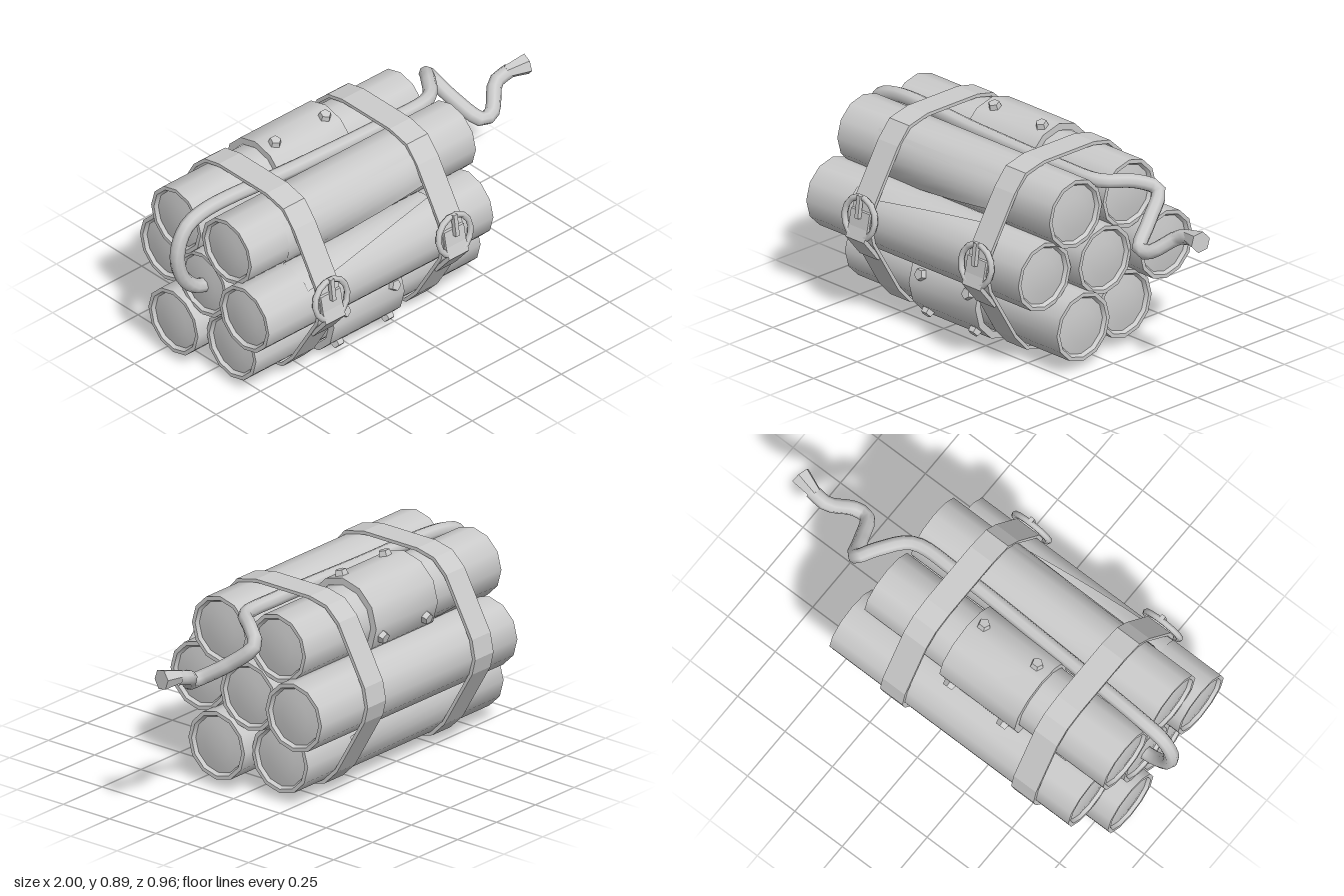
import * as THREE from 'three';
import { toCreasedNormals } from 'three/addons/utils/BufferGeometryUtils.js';

const material = new THREE.MeshStandardMaterial({ color: 0xcccccc });
const thinMaterial = new THREE.MeshStandardMaterial({ color: 0xcccccc, side: THREE.DoubleSide });
const V2 = (x, y) => new THREE.Vector2(x, y);
const V3 = (x, y, z) => new THREE.Vector3(x, y, z);

export function createModel() {
  const model = new THREE.Group();
  const add = (name, geometry, mat = material) => {
    const mesh = new THREE.Mesh(geometry, mat);
    mesh.name = name;
    model.add(mesh);
    return mesh;
  };

  // Lathe around the x axis, 12 sides
  const latheX = (points) => {
    const g = new THREE.LatheGeometry(points.map(p => V2(...p)), 12);
    return toCreasedNormals(g.rotateZ(-Math.PI / 2), 0.6);
  };

  // Extrude a (z, y) outline along x, centred at x
  const extrudeX = (outline, width, x, hole) => {
    const shape = new THREE.Shape(outline.map(p => V2(...p)));
    if (hole) shape.holes.push(new THREE.Path(hole.map(p => V2(...p))));
    const g = new THREE.ExtrudeGeometry(shape, { depth: width, bevelEnabled: false });
    return g.rotateY(-Math.PI / 2).translate(x + width / 2, 0, 0);
  };

  // Sticks: z, y, x of the left and right ends, angle of the loose paper edge
  const sticks = [
    [0.14, 0.69, -0.84, 0.42, -10],
    [-0.17, 0.69, -0.84, 0.42, 250],
    [0.285, 0.44, -0.875, 0.385, 78],
    [-0.02, 0.44, -0.83, 0.43, 221],
    [-0.315, 0.44, -0.77, 0.49, -40],
    [0.13, 0.19, -0.805, 0.455, 75],
    [-0.165, 0.19, -0.86, 0.40, 160],
  ];
  const h = 0.63;
  const stickGeometry = latheX([
    [0, -h + 0.004], [0.07, -h + 0.007], [0.125, -h + 0.015], [0.135, -h], [0.152, -h],
    [0.152, h], [0.135, h], [0.125, h - 0.015], [0.07, h - 0.007], [0, h - 0.004],
  ]);
  for (const [z, y, x0, x1, lip] of sticks) {
    add('stick', stickGeometry).position.set((x0 + x1) / 2, y, z);
    add('paperFlap', flapGeometry(lip * Math.PI / 180), thinMaterial).position.set(0, y, z);
  }

  // Sleeves with bolts round one upper and one lower stick
  const sleeveGeometry = latheX([
    [0.152, -0.198], [0.182, -0.198], [0.182, 0.198], [0.152, 0.198],
  ]);
  const sleeves = [
    { z: -0.17, y: 0.693, bolts: [74, 196] },
    { z: 0.13, y: 0.183, bolts: [17, -43] },
  ];
  for (const { z, y, bolts } of sleeves) {
    add('sleeve', sleeveGeometry).position.set(-0.197, y, z);
    for (const degrees of bolts) {
      const a = degrees * Math.PI / 180;
      for (const x of [-0.33, -0.05]) {
        const bolt = add('bolt', toCreasedNormals(new THREE.CylinderGeometry(0.024, 0.03, 0.03, 5), 0.5));
        bolt.position.set(x, y + Math.sin(a) * 0.184, z + Math.cos(a) * 0.184);
        bolt.rotation.x = Math.PI / 2 - a;
      }
    }
  }

  // Straps, each with a buckle and a loose tail
  const strapOutline = [
    [0.12, 0.86], [-0.17, 0.86], [-0.26, 0.84], [-0.325, 0.78], [-0.465, 0.525],
    [-0.482, 0.44], [-0.465, 0.37], [-0.315, 0.11], [-0.25, 0.045], [-0.165, 0.02],
    [0.13, 0.02], [0.22, 0.04], [0.285, 0.11], [0.435, 0.36], [0.452, 0.44],
    [0.43, 0.53], [0.29, 0.76], [0.225, 0.835],
  ];
  const inner = strapOutline.map(([z, y]) => [-0.017 + (z + 0.017) * 0.965, 0.44 + (y - 0.44) * 0.965]);
  const tail = [
    [0.436, 0.5], [0.45, 0.5], [0.464, 0.43], [0.482, 0.38], [0.4, 0.28],
    [0.386, 0.29], [0.46, 0.382], [0.445, 0.43],
  ];
  for (const x of [-0.54, 0.152]) {
    add('strap', extrudeX(strapOutline, 0.118, x, inner));
    add('strapTail', extrudeX(tail, 0.11, x));
    const buckle = new THREE.Group();
    buckle.name = 'buckle';
    const ring = new THREE.Mesh(new THREE.TorusGeometry(0.09, 0.014, 6, 14), material);
    ring.name = 'buckleRing';
    const prong = new THREE.Mesh(new THREE.BoxGeometry(0.02, 0.1, 0.02), material);
    prong.name = 'buckleProng';
    prong.position.set(0, 0.05, 0.012);
    buckle.add(ring, prong);
    buckle.position.set(x, 0.47, 0.453);
    buckle.rotation.x = -0.14;
    model.add(buckle);
  }

  // Fuse from the middle stick, over the top and off the far end
  const fusePath = new THREE.CatmullRomCurve3([
    V3(-0.8, 0.43, -0.02), V3(-0.87, 0.45, -0.02), V3(-0.94, 0.53, -0.025), V3(-0.965, 0.65, -0.025),
    V3(-0.92, 0.76, -0.025), V3(-0.82, 0.8, -0.025), V3(-0.3, 0.8, 0), V3(0.2, 0.8, 0.015),
    V3(0.42, 0.8, 0), V3(0.52, 0.795, -0.11), V3(0.58, 0.755, -0.18), V3(0.63, 0.66, -0.08),
    V3(0.69, 0.585, 0.035), V3(0.75, 0.59, 0.03), V3(0.84, 0.66, -0.045), V3(0.92, 0.682, -0.045),
  ], false, 'centripetal');
  add('fuse', new THREE.TubeGeometry(fusePath, 72, 0.032, 8));

  // Flared fuse tip
  const tipGeometry = toCreasedNormals(new THREE.CylinderGeometry(0.046, 0.028, 0.1, 6), 0.5);
  const tip = add('fuseTip', tipGeometry);
  tip.position.set(0.945, 0.687, -0.035);
  tip.quaternion.setFromUnitVectors(V3(0, 1, 0), V3(0.97, 0.08, 0.22).normalize());
  return model;
}

// Curved sheet round the x axis whose slanted edge lifts off the stick
function flapGeometry(lip) {
  const g = new THREE.PlaneGeometry(1, 1, 6, 6);
  const p = g.attributes.position;
  for (let i = 0; i < p.count; i++) {
    const u = p.getX(i) + 0.5, v = p.getY(i) + 0.5;
    const edge = lip - 0.75 * (1 - u);
    const a = THREE.MathUtils.lerp(edge, lip + 0.9, v);
    const r = 0.15 + 0.016 * (1 - v) * (0.3 + 0.7 * u);
    p.setXYZ(i, -0.63 + 0.76 * u, Math.sin(a) * r, Math.cos(a) * r);
  }
  g.computeVertexNormals();
  return g;
}
